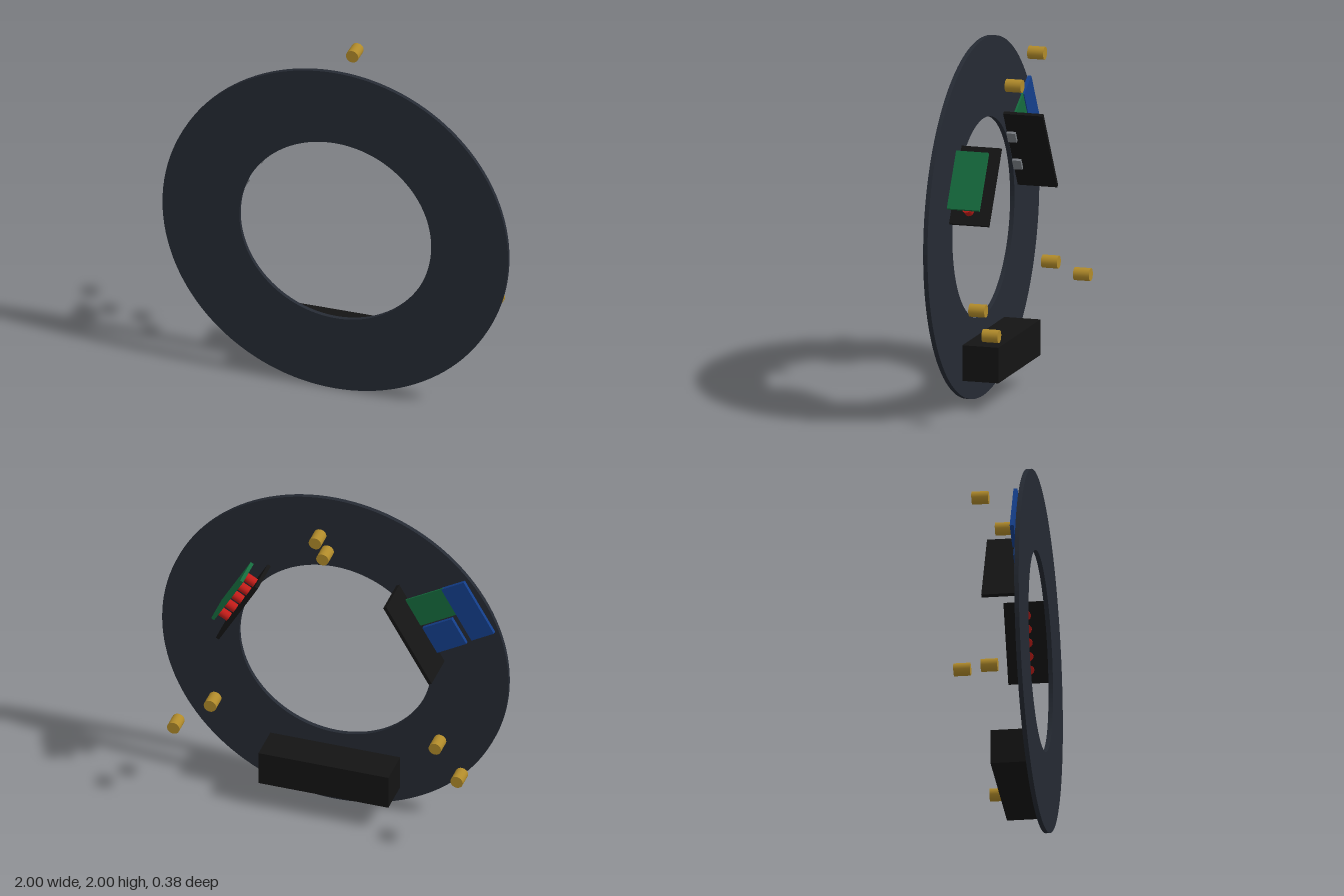
import * as THREE from 'three';

const mat = (color) => new THREE.MeshStandardMaterial({ color });

export function createModel() {
  const model = new THREE.Group();
  model.name = 'ringAssembly';
  const slate = mat(0x252a33), black = mat(0x141414), green = mat(0x156b3d);
  const blue = mat(0x143f8c), red = mat(0xc01c18), brass = mat(0xb08a2a), grey = mat(0x777b80);

  const add = (parent, name, geometry, material, x, y, z) => {
    const mesh = new THREE.Mesh(geometry, material);
    mesh.name = name;
    mesh.position.set(x, y, z);
    parent.add(mesh);
    return mesh;
  };
  // Box given by its ranges along x, y and z
  const addBox = (parent, name, material, [x0, x1], [y0, y1], [z0, z1]) =>
    add(parent, name, new THREE.BoxGeometry(x1 - x0, y1 - y0, z1 - z0), material,
      (x0 + x1) / 2, (y0 + y1) / 2, (z0 + z1) / 2);
  // Group at the ring centre whose +x points outward at the given angle
  const station = (name, degrees) => {
    const group = new THREE.Group();
    group.name = name;
    group.position.y = 1;
    group.rotation.z = THREE.MathUtils.degToRad(degrees);
    model.add(group);
    return group;
  };

  // Flat front ring
  const disc = new THREE.Shape().absarc(0, 0, 1, 0, Math.PI * 2, false);
  disc.holes.push(new THREE.Path().absarc(0, 0, 0.555, 0, Math.PI * 2, true));
  add(model, 'frontRing',
    new THREE.ExtrudeGeometry(disc, { depth: 0.025, bevelEnabled: false, curveSegments: 64 }),
    slate, 0, 1, 0.165);

  // Brass standoffs: an inner and an outer set of three
  const postGeometry = new THREE.CylinderGeometry(0.036, 0.036, 0.092, 24).rotateX(Math.PI / 2);
  for (const [name, radius, z] of [['innerStandoff', 0.75, -0.014], ['outerStandoff', 0.945, -0.144]]) {
    for (const degrees of [90, 210, 330]) {
      const a = THREE.MathUtils.degToRad(degrees);
      add(model, name, postGeometry, brass, radius * Math.cos(a), 1 + radius * Math.sin(a), z);
    }
  }

  // Battery box at the bottom
  addBox(model, 'batteryBox', black, [-0.375, 0.375], [0.16, 0.36], [-0.042, 0.165]);

  // Button panel on the model's left
  const buttons = station('buttonPanel', 30);
  addBox(buttons, 'buttonPlate', black, [0.56, 0.58], [-0.225, 0.225], [-0.062, 0.165]);
  addBox(buttons, 'buttonBoard', green, [0.642, 0.662], [-0.165, 0.17], [-0.02, 0.165]);
  const buttonGeometry = new THREE.CylinderGeometry(0.026, 0.026, 0.087, 20).rotateZ(Math.PI / 2);
  for (let i = -2; i <= 2; i++) add(buttons, 'button', buttonGeometry, red, 0.5985, i * 0.075, 0.06);

  // Connector panel with flat circuit boards on the model's right
  const boards = station('connectorPanel', 150);
  addBox(boards, 'connectorPlate', black, [0.558, 0.578], [-0.262, 0.262], [-0.062, 0.165]);
  // Here +y runs down along the ring
  addBox(boards, 'greenBoard', green, [0.58, 0.83], [-0.175, 0], [0.136, 0.147]);
  addBox(boards, 'largeBlueBoard', blue, [0.82, 0.97], [-0.175, 0.175], [0.131, 0.153]);
  addBox(boards, 'smallBlueBoard', blue, [0.585, 0.78], [0.015, 0.185], [0.131, 0.153]);
  for (const side of [-1, 1]) {
    add(boards, 'socket', new THREE.BoxGeometry(0.02, 0.065, 0.05), grey, 0.551, side * 0.1, 0.138);
  }
  return model;
}
